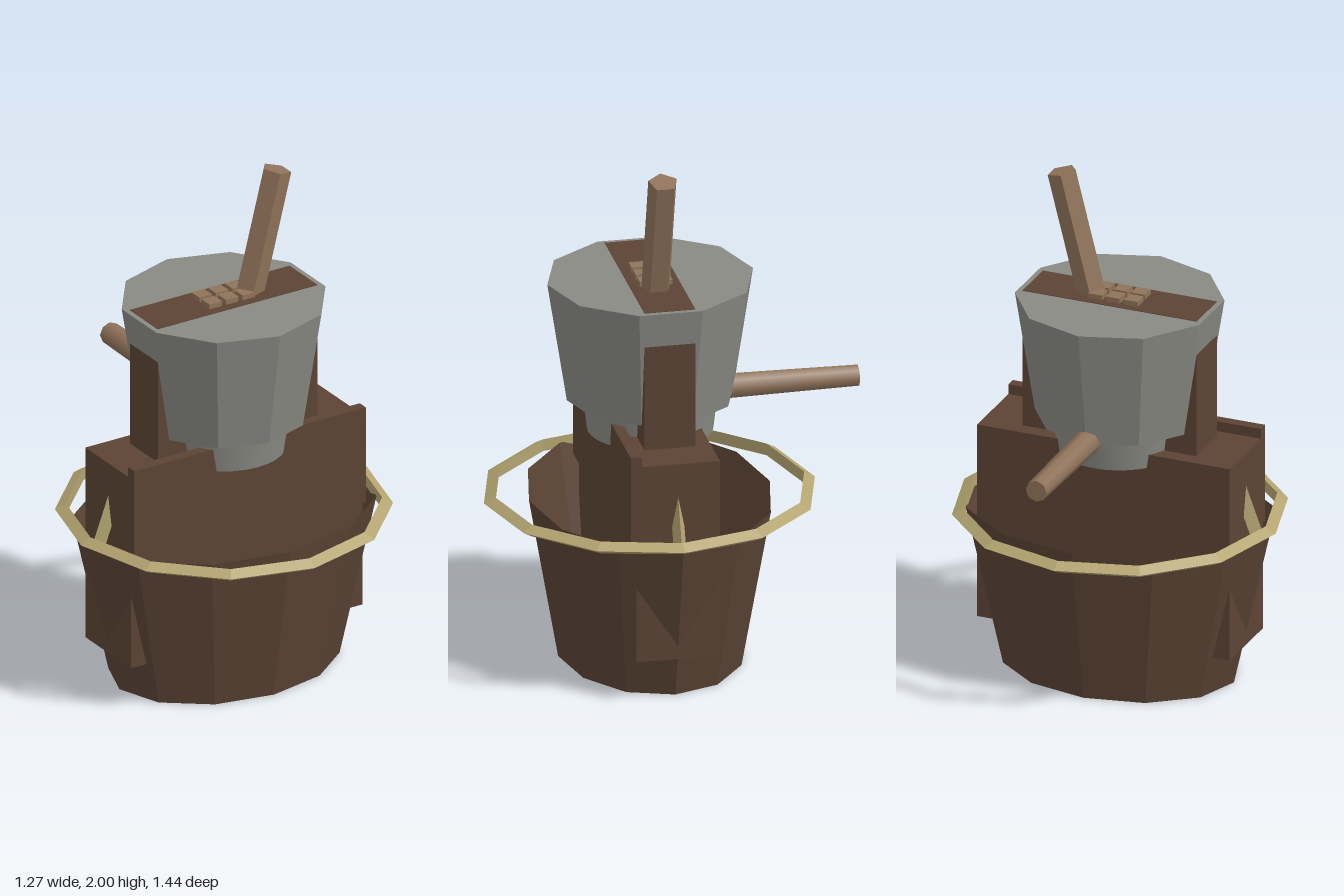
import * as THREE from 'three';

const brown = new THREE.MeshStandardMaterial({ color: 0x5c4435, side: THREE.DoubleSide });
brown.name = 'dark wood';
const grey = new THREE.MeshStandardMaterial({ color: 0x8a8a84 });
grey.name = 'grey metal';
const tan = new THREE.MeshStandardMaterial({ color: 0x90735a });
tan.name = 'light wood';
const brass = new THREE.MeshStandardMaterial({ color: 0xb3a470 });
brass.name = 'brass';

const AXIS_Z = 0.08;

// Faceted copy of a geometry
function flat(geometry) {
  const g = geometry.toNonIndexed();
  g.computeVertexNormals();
  return g;
}

export function createModel() {
  const model = new THREE.Group();
  model.name = 'grinder';

  function add(name, geometry, material, x, y, z, parent = model) {
    const mesh = new THREE.Mesh(geometry, material);
    mesh.name = name;
    mesh.position.set(x, y, z);
    parent.add(mesh);
    return mesh;
  }
  // Box given by its limits on each axis
  function box(name, material, [x0, x1], [y0, y1], [z0, z1]) {
    return add(name, new THREE.BoxGeometry(x1 - x0, y1 - y0, z1 - z0), material,
      (x0 + x1) / 2, (y0 + y1) / 2, (z0 + z1) / 2);
  }

  // Open oval tub with a floor
  const wall = new THREE.CylinderGeometry(0.613, 0.465, 0.64, 12, 1, true);
  wall.scale(1, 1, 0.754);
  add('tubWall', flat(wall), brown, 0, 0.32, AXIS_Z);
  const floor = new THREE.CircleGeometry(0.465, 12);
  floor.rotateX(Math.PI / 2).scale(1, 1, 0.754);
  add('tubFloor', floor, brown, 0, 0, AXIS_Z);

  // Round hoop at the rim, with a triangular section
  const hoop = new THREE.TorusGeometry(0.608, 0.0275, 3, 12);
  hoop.rotateX(Math.PI / 2);
  add('rimHoop', flat(hoop), brass, 0, 0.643, AXIS_Z);

  // Leaning struts from the hoop into the body
  for (const side of [0, 1]) {
    const holder = new THREE.Group();
    holder.name = side ? 'rightStrut' : 'leftStrut';
    holder.position.z = AXIS_Z;
    holder.rotation.y = side * Math.PI;
    model.add(holder);
    const strut = new THREE.CylinderGeometry(0.0275, 0.0275, 0.25, 3);
    strut.rotateY(Math.PI / 2);
    add('strut', flat(strut), brass, 0.515, 0.741, 0, holder).rotation.z = 0.358;
  }

  // Body block, front lip and upright
  box('bodyBlock', brown, [-0.515, 0.515], [0.165, 0.955], [-0.08, 0.24]);
  box('frontLip', brown, [-0.515, 0.515], [0.6, 0.995], [0.22, 0.262]);
  box('upright', brown, [-0.355, 0.355], [0.9, 1.512], [-0.02, 0.175]);

  // Ten-sided hopper on a round neck
  add('hopper', flat(new THREE.CylinderGeometry(0.395, 0.32, 0.475, 10)), grey, 0, 1.2725, 0.077);
  add('neck', new THREE.CylinderGeometry(0.255, 0.238, 0.15, 32), grey, 0, 0.975, 0.077);

  // Rear handle on a metal stub
  const stub = new THREE.CylinderGeometry(0.045, 0.05, 0.2, 12);
  stub.rotateX(-Math.PI / 2);
  add('handleStub', stub, grey, 0, 1.04, -0.13);
  const grip = new THREE.CylinderGeometry(0.043, 0.05, 0.5, 8);
  grip.rotateX(-Math.PI / 2);
  add('handleGrip', grip, tan, 0, 1.04, -0.47);

  // Five-sided leaning stick
  const stick = new THREE.CylinderGeometry(0.057, 0.057, 0.6, 5);
  stick.translate(0, -0.3, 0).rotateY(-Math.PI / 2);
  add('stick', flat(stick), tan, 0.235, 1.986, 0.077).rotation.z = -0.25;

  // Two rows of small studs on top
  for (const x of [-0.073, 0, 0.073]) {
    for (const z of [0.04, 0.11]) {
      box('stud', tan, [x - 0.028, x + 0.028], [1.5, 1.532], [z - 0.028, z + 0.028]);
    }
  }

  return model;
}
